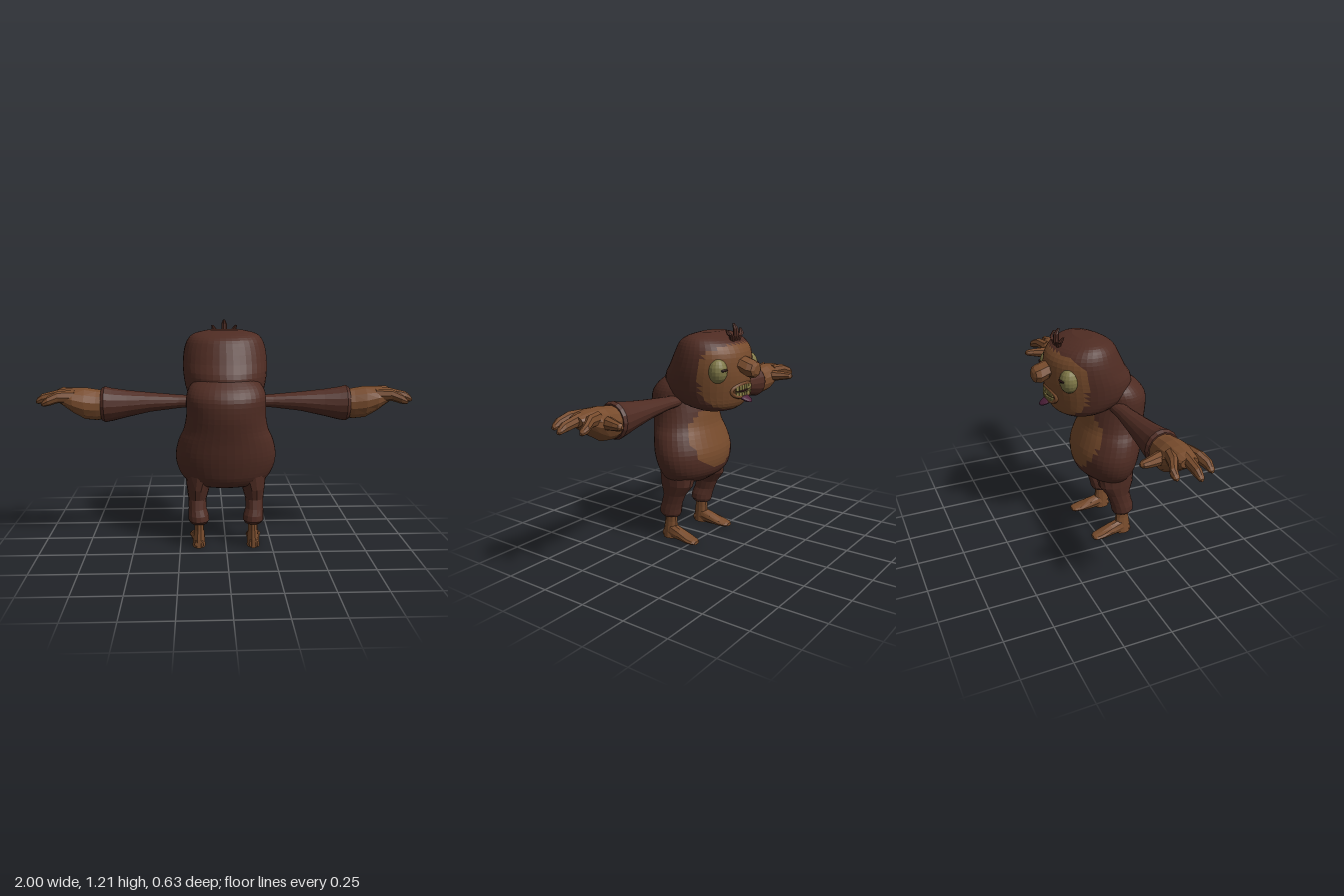
import * as THREE from 'three';

const mat = (name, color) => Object.assign(new THREE.MeshStandardMaterial({ color }), { name });

export function createModel() {
  const model = new THREE.Group();
  model.name = 'furryCreature';
  const fur = mat('brown fur', 0x4f2c23), skin = mat('tan skin', 0x774b2c);
  const eyeMat = mat('olive eye', 0x7f7847), tongueMat = mat('purple tongue', 0x4c2039);
  const dark = mat('dark mouth', 0x2a1413), toothMat = mat('yellowed teeth', 0x8c8048);

  const add = (name, geo, material) => {
    const mesh = new THREE.Mesh(geo, material);
    mesh.name = name;
    model.add(mesh);
    return mesh;
  };

  const toGeometry = (tris) => {
    const g = new THREE.BufferGeometry().setFromPoints(tris.flat());
    g.computeVertexNormals();
    return g;
  };

  // Closed faceted skin over elliptical rings [t, a, b, ra, rb] along an axis; side mirrors x
  const place = {
    x: (t, a, b) => [t, a, b],
    y: (t, a, b) => [a, t, b],
    z: (t, a, b) => [a, b, t],
  };
  const loftTris = (axis, rings, n, side = 1) => {
    const point = (t, a, b) => {
      const [x, y, z] = place[axis](t, a, b);
      return new THREE.Vector3(x * side, y, z);
    };
    const loops = rings.map(([t, a, b, ra, rb]) => Array.from({ length: n }, (_, i) => {
      const w = (i / n) * Math.PI * 2;
      return point(t, a + ra * Math.cos(w), b + rb * Math.sin(w));
    }));
    const tris = [];
    for (let r = 0; r + 1 < loops.length; r++) {
      for (let i = 0; i < n; i++) {
        const j = (i + 1) % n, p = loops[r], q = loops[r + 1];
        tris.push([p[i], p[j], q[j]], [p[i], q[j], q[i]]);
      }
    }
    const first = point(...rings[0]), last = point(...rings.at(-1));
    for (let i = 0; i < n; i++) {
      const j = (i + 1) % n;
      tris.push([first, loops[0][j], loops[0][i]], [last, loops.at(-1)[i], loops.at(-1)[j]]);
    }
    // Turn the skin outward if its enclosed volume is negative
    const c = first.clone().add(last).multiplyScalar(0.5);
    const volume = tris.reduce((sum, [p, q, r]) => sum +
      p.clone().sub(c).dot(q.clone().sub(c).cross(r.clone().sub(c))), 0);
    return volume < 0 ? tris.map(([p, q, r]) => [p, r, q]) : tris;
  };
  const loft = (name, axis, rings, n, material, side) =>
    add(name, toGeometry(loftTris(axis, rings, n, side)), material);

  // Body shells from [y, back z, front z, half width], smoothed between rings
  const shell = (rows, steps) => {
    const at = (i) => rows[Math.max(0, Math.min(rows.length - 1, i))];
    const rings = [];
    for (let i = 0; i < (rows.length - 1) * steps + 1; i++) {
      const k = Math.floor(i / steps), t = (i % steps) / steps;
      const [y, zb, zf, w] = at(k).map((p1, c) => {
        const p0 = at(k - 1)[c], p2 = at(k + 1)[c], p3 = at(k + 2)[c];
        return p1 + 0.5 * t * (p2 - p0 + t * (2 * p0 - 5 * p1 + 4 * p2 - p3 + t * (3 * (p1 - p2) + p3 - p0)));
      });
      rings.push([y, 0, (zb + zf) / 2, w, (zb - zf) / 2]);
    }
    return rings;
  };
  const twoTone = (name, patchName, rings, isPatch) => {
    const tris = loftTris('y', rings, 40);
    const test = ([p, q, r]) => isPatch((p.x + q.x + r.x) / 3, (p.y + q.y + r.y) / 3, (p.z + q.z + r.z) / 3);
    add(name, toGeometry(tris.filter((t) => !test(t))), fur);
    add(patchName, toGeometry(tris.filter(test)), skin);
  };

  // Torso with belly patch
  twoTone('torso', 'bellyPatch', shell([
    [0.33, 0.13, 0.02, 0.08], [0.35, 0.2, -0.01, 0.18], [0.39, 0.235, -0.06, 0.232],
    [0.45, 0.255, -0.08, 0.262], [0.52, 0.272, -0.08, 0.27], [0.6, 0.285, -0.055, 0.252],
    [0.66, 0.297, -0.035, 0.225], [0.74, 0.312, -0.022, 0.21], [0.82, 0.312, 0, 0.21],
    [0.87, 0.285, 0, 0.2], [0.91, 0.24, 0.02, 0.17], [0.95, 0.19, 0.05, 0.1],
  ], 3), (x, y, z) => z < 0.06 && (x / 0.175) ** 2 + ((y - 0.59) / 0.165) ** 2 < 1);

  // Head with bare face
  twoTone('head', 'face', shell([
    [0.76, 0.02, -0.165, 0.12], [0.79, 0.12, -0.205, 0.18], [0.85, 0.22, -0.228, 0.21],
    [0.93, 0.228, -0.242, 0.225], [1.0, 0.188, -0.242, 0.228], [1.07, 0.152, -0.232, 0.22],
    [1.12, 0.122, -0.195, 0.2], [1.15, 0.07, -0.135, 0.165], [1.168, 0.01, -0.08, 0.09],
  ], 3), (x, y, z) => z < -0.09 - 0.06 * ((y - 0.94) / 0.15) ** 4);

  // Nose
  loft('nose', 'z', [[-0.18, 0, 1.0, 0.09, 0.05], [-0.24, 0, 1.005, 0.063, 0.046],
    [-0.28, 0, 0.988, 0.062, 0.05], [-0.305, 0, 0.985, 0.052, 0.04], [-0.315, 0, 0.985, 0.03, 0.024]], 8, skin);

  // Mouth: dark opening, lip ring, teeth and hanging tongue
  const faceZ = (x) => -0.005 - 0.23 * Math.sqrt(1 - (x / 0.215) ** 2);
  const ball = (name, r, pos, material, w = 16, h = 10) => {
    const tris = new THREE.SphereGeometry(1, w, h).scale(...r).toNonIndexed();
    tris.computeVertexNormals();
    const mesh = add(name, tris, material);
    mesh.position.set(...pos);
    return mesh;
  };
  ball('mouthOpening', [0.085, 0.034, 0.045], [0, 0.872, -0.193], dark);
  const lipPath = new THREE.CatmullRomCurve3(Array.from({ length: 16 }, (_, i) => {
    const w = (i / 16) * Math.PI * 2, x = 0.088 * Math.cos(w);
    return new THREE.Vector3(x, 0.872 + 0.036 * Math.sin(w), faceZ(x));
  }), true);
  add('lips', new THREE.TubeGeometry(lipPath, 32, 0.011, 6, true), skin);
  for (let i = -3; i <= 3; i++) {
    const x = i * 0.02;
    for (const [name, y, h] of [['upperTooth', 0.89, 0.026], ['lowerTooth', 0.853, 0.018]]) {
      const tooth = add(name, new THREE.BoxGeometry(0.016, h, 0.012), toothMat);
      tooth.position.set(x, y - Math.sign(y - 0.872) * 0.06 * Math.abs(x), faceZ(x) - 0.004);
      tooth.rotation.y = -x * 5;
    }
  }
  ball('tongue', [0.036, 0.013, 0.05], [0, 0.835, -0.235], tongueMat).rotation.x = -0.45;

  // Hair tuft
  for (const i of [-1, 0, 1]) {
    const tip = i ? 1.185 : 1.215;
    loft('hairStrand', 'y', [[1.11, i * 0.02, -0.17, 0.012, 0.012], [1.15, i * 0.035, -0.18, 0.016, 0.016],
      [tip - 0.025, i * 0.055, -0.178, 0.016, 0.014], [tip, i * 0.066, -0.165, 0.006, 0.006]], 7, fur);
  }

  for (const s of [1, -1]) {
    // Eye with narrow pupil
    ball('eye', [0.052, 0.065, 0.051], [s * 0.148, 0.985, -0.167], eyeMat);
    ball('pupil', [0.026, 0.007, 0.008], [s * 0.156, 0.992, -0.214], dark, 10, 6).rotation.y = -s * 0.15;

    // Flared sleeve arm
    loft('arm', 'x', [[0.16, 0.8, 0.095, 0.03, 0.045], [0.25, 0.8, 0.095, 0.036, 0.045],
      [0.4, 0.797, 0.096, 0.052, 0.06], [0.52, 0.79, 0.098, 0.072, 0.072], [0.6, 0.786, 0.1, 0.088, 0.083],
      [0.638, 0.787, 0.1, 0.096, 0.089], [0.655, 0.787, 0.1, 0.086, 0.08]], 16, fur, s);

    // Hand: palm, three fingers, thumb
    loft('palm', 'x', [[0.63, 0.787, 0.1, 0.076, 0.072], [0.68, 0.785, 0.1, 0.083, 0.078],
      [0.74, 0.793, 0.1, 0.085, 0.088], [0.8, 0.81, 0.1, 0.067, 0.088], [0.85, 0.825, 0.1, 0.045, 0.07],
      [0.89, 0.832, 0.1, 0.025, 0.045]], 14, skin, s);
    for (const [root, tipZ, tipX] of [[0.055, 0.005, 0.955], [0.1, 0.1, 1.0], [0.145, 0.18, 0.955]]) {
      const mid = (root + tipZ) / 2;
      loft('finger', 'x', [[0.79, 0.835, root, 0.034, 0.03], [0.87, 0.838, mid, 0.031, 0.026],
        [tipX - 0.035, 0.82, tipZ, 0.026, 0.021], [tipX - 0.01, 0.808, tipZ, 0.017, 0.016],
        [tipX, 0.803, tipZ, 0.007, 0.007]], 8, skin, s);
    }
    loft('thumb', 'z', [[0.08, 0.74, 0.8, 0.045, 0.04], [0.01, 0.765, 0.81, 0.036, 0.032],
      [-0.05, 0.785, 0.812, 0.026, 0.024], [-0.08, 0.79, 0.812, 0.02, 0.018], [-0.092, 0.79, 0.812, 0.008, 0.008]], 8, skin, s);

    // Leg with rolled cuff
    loft('leg', 'y', [[0.41, 0.135, 0.1, 0.085, 0.11], [0.33, 0.15, 0.1, 0.063, 0.1],
      [0.27, 0.155, 0.113, 0.05, 0.068], [0.22, 0.155, 0.13, 0.048, 0.064], [0.185, 0.15, 0.142, 0.055, 0.065],
      [0.155, 0.148, 0.146, 0.056, 0.063], [0.138, 0.147, 0.142, 0.046, 0.05]], 14, fur, s);

    // Ankle and foot
    loft('ankle', 'y', [[0.16, 0.146, 0.145, 0.026, 0.035], [0.1, 0.146, 0.146, 0.026, 0.039],
      [0.05, 0.148, 0.147, 0.031, 0.046], [0.006, 0.149, 0.147, 0.036, 0.048]], 10, skin, s);
    loft('foot', 'z', [[0.19, 0.148, 0.026, 0.025, 0.024], [0.13, 0.149, 0.044, 0.034, 0.044],
      [0.07, 0.153, 0.034, 0.039, 0.034], [0.01, 0.159, 0.022, 0.042, 0.021], [-0.028, 0.162, 0.017, 0.036, 0.014],
      [-0.042, 0.163, 0.015, 0.022, 0.009]], 10, skin, s);
  }
  return model;
}
